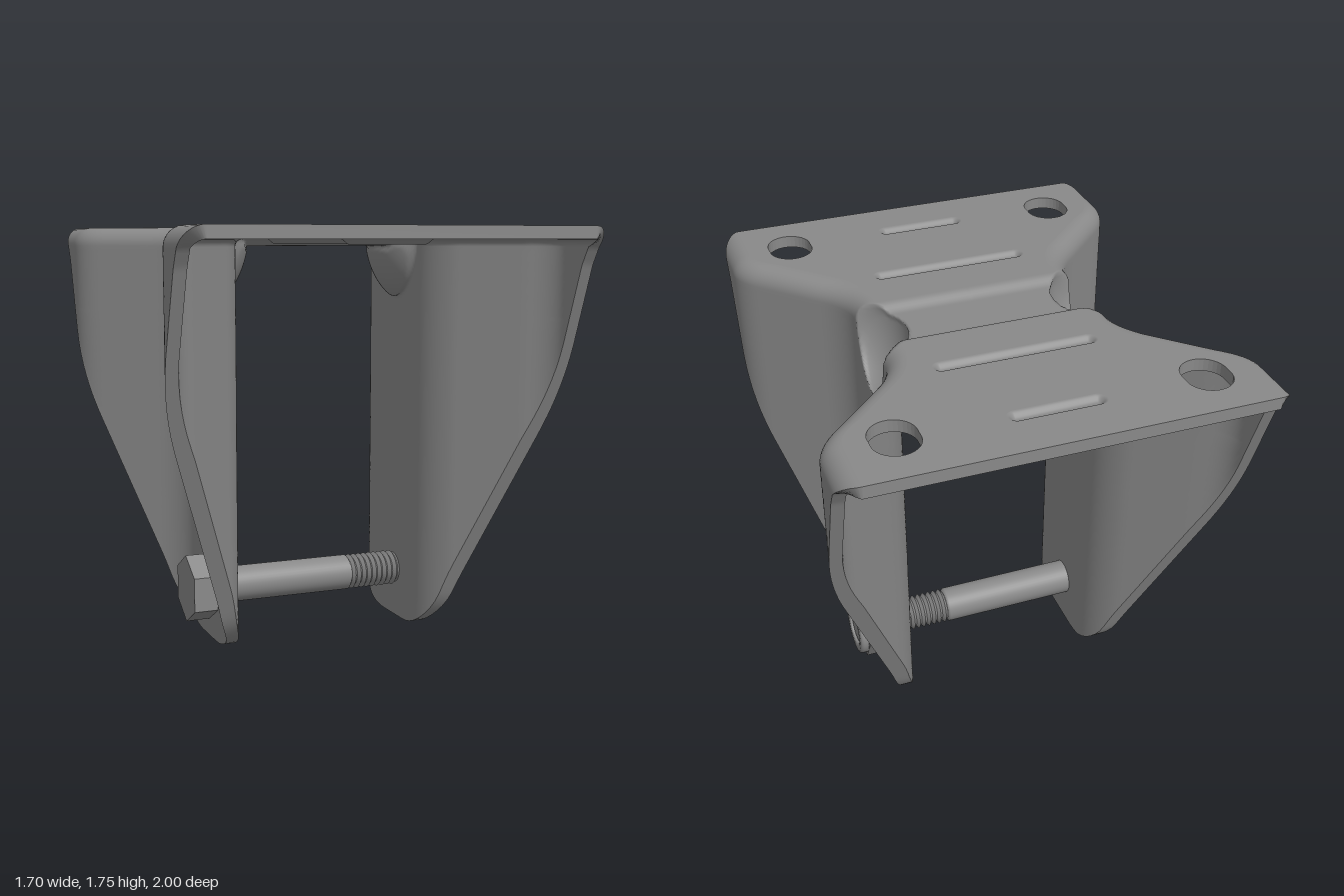
import * as THREE from 'three';
import { mergeGeometries } from 'three/addons/utils/BufferGeometryUtils.js';

const TOP = 1.75, THICK = 0.05, BEND = 0.08, MID = 0.24;
const steel = new THREE.MeshStandardMaterial({ color: 0x898989, side: THREE.DoubleSide });
const steelFlat = new THREE.MeshStandardMaterial({ color: 0x898989, flatShading: true });
const { smoothstep, lerp } = THREE.MathUtils;

// Indexed surface from a point function; keep(i, j) may drop cells
function grid(nI, nJ, point, keep = () => true) {
  const pos = [], idx = [];
  for (let i = 0; i <= nI; i++) for (let j = 0; j <= nJ; j++) pos.push(...point(i, j));
  for (let i = 0; i < nI; i++) for (let j = 0; j < nJ; j++) {
    if (!keep(i, j)) continue;
    const a = i * (nJ + 1) + j, b = a + nJ + 1;
    idx.push(a, a + 1, b, a + 1, b + 1, b);
  }
  const g = new THREE.BufferGeometry();
  g.setAttribute('position', new THREE.Float32BufferAttribute(pos, 3));
  g.setIndex(idx);
  g.computeVertexNormals();
  return g;
}

function flip(g) {
  const a = g.index.array;
  for (let k = 0; k < a.length; k += 3) [a[k], a[k + 1]] = [a[k + 1], a[k]];
  g.computeVertexNormals();
  return g;
}

// Half width of the bracket in plan: straight waist, 45 degree flare, straight ends
const ramp = (t, k) => (t <= -k ? 0 : t >= k ? t : (t + k) ** 2 / (4 * k));
function halfWidth(z) {
  const q = Math.abs(z);
  return 0.465 + ramp(q - 0.3, 0.1) - ramp(q - 0.685, 0.07);
}

// Half length of the side wall at each height: round foot, straight taper, flared lip
const FOOT = 0.276;
const REACH = [[0.183, 0.36], [1.6, 0.865], [1.67, 0.905], [1.7, 0.935], [1.725, 0.963], [1.74, 0.982], [1.75, 1]];
function reach(y) {
  if (y < REACH[0][0]) return 0.1 + Math.sqrt(FOOT ** 2 - (FOOT - y) ** 2);
  let k = 1;
  while (k < REACH.length - 1 && y > REACH[k][0]) k++;
  const [a, b] = [REACH[k - 1], REACH[k]];
  return lerp(a[1], b[1], (y - a[0]) / (b[0] - a[0]));
}

// x of the plan outline at z, moved inward by d measured square to the outline
function insetX(z, d) {
  const slope = (halfWidth(z + 0.005) - halfWidth(z - 0.005)) / 0.01;
  return halfWidth(z) - d * Math.hypot(1, slope);
}

// Pressed centre channel, and the soft-rimmed dent in the bent edge
function press([x, y, z], inner) {
  y -= 0.028 * (1 - smoothstep(Math.abs(z), 0.105, 0.16)) * smoothstep(y, 1.6, 1.7);
  const [rx, ry, rz] = inner ? [0.213, 0.325, 0.235] : [0.192, 0.315, 0.2];
  const px = (x - 0.5) / rx, py = (y - 1.74) / ry, pz = z / rz;
  const c = px * px + py * py + pz * pz - 1;
  if (c < 0) {
    const dx = x - 0.58, dy = y - 1.9, ex = dx / rx, ey = dy / ry;
    const a = ex * ex + ey * ey, b = px * ex + py * ey;
    const t = (-b + Math.sqrt(b * b - a * c)) / a * smoothstep(-c, 0, 0.22);
    x += dx * t;
    y += dy * t;
  }
  return [x, y, z];
}

// Columns across the sheet, dense in the middle
const cols = [], N = 36, M = 48;
for (let k = 0; k < N; k++) cols.push(lerp(-1, -MID, k / N));
for (let k = 0; k <= M; k++) cols.push(lerp(-MID, MID, k / M));
for (let k = 1; k <= N; k++) cols.push(lerp(MID, 1, k / N));

// Rows: up the wall, around the bend, then over the middle of the top
const rows = [];
for (const y of [0, 0.003, 0.01, 0.02, 0.035, 0.055, 0.08, 0.11, 0.145, 0.183]) rows.push({ y, a: 0, v: 1 });
for (let y = 0.23; y < 1.36; y += 0.05) rows.push({ y, a: 0, v: 1 });
for (let y = 1.38; y < 1.66; y += 0.015) rows.push({ y, a: 0, v: 1 });
for (let k = 0; k <= 10; k++) rows.push({ y: TOP - BEND, a: k / 10 * Math.PI / 2, v: 1 });
const wallRows = rows.length - 1;
for (let k = 1; k <= 28; k++) rows.push({ y: TOP - BEND, a: Math.PI / 2, v: 1 - k / 28 });

function sheetPoint(i, j, inner) {
  const { y, a, v } = rows[j], r = inner ? BEND - THICK : BEND;
  const z = cols[i] * reach(Math.min(y + BEND * Math.sin(a), TOP));
  return press([insetX(z, BEND - r * Math.cos(a)) * v, y + r * Math.sin(a), z], inner);
}

function sideSheet() {
  const nI = cols.length - 1, nJ = rows.length - 1;
  const keep = (i, j) => j < wallRows || (i >= N && i < N + M);
  const edge = [];
  for (let j = wallRows; j > 0; j--) edge.push([0, j]);
  for (let i = 0; i <= nI; i++) edge.push([i, 0]);
  for (let j = 1; j <= wallRows; j++) edge.push([nI, j]);
  return mergeGeometries([
    grid(nI, nJ, (i, j) => sheetPoint(i, j, false), keep),
    flip(grid(nI, nJ, (i, j) => sheetPoint(i, j, true), keep)),
    grid(edge.length - 1, 1, (i, j) => sheetPoint(...edge[i], j === 0)),
  ]);
}

// Round-ended slot outline; s shrinks it towards its spine
function slotPoint(k, n, hx, hz, s = 1) {
  const a = (k + 0.5) / n * Math.PI * 2, r = Math.min(hx, hz);
  const c = Math.cos(a), d = Math.sin(a);
  return [c * r * s + Math.sign(c) * (hx - r), d * r * s + Math.sign(d) * (hz - r)];
}
const slotPath = (cx, cz, hx, hz) => new THREE.Path(Array.from({ length: 32 }, (_, k) => {
  const [x, z] = slotPoint(k, 32, hx, hz);
  return new THREE.Vector2(cx + x, cz + z);
}));

const GROOVES = [[0.385, 0.33], [0.785, 0.19]];
const GROOVE_W = 0.036;

// Flat end of the top plate with two mounting holes and two pressed grooves
function endPlate() {
  const side = cols.slice(N + M).map((z) => new THREE.Vector2(insetX(z, BEND), z));
  const shape = new THREE.Shape([...side, ...side.map((p) => new THREE.Vector2(-p.x, p.y)).reverse()]);
  for (const s of [-1, 1]) shape.holes.push(slotPath(s * 0.593, 0.768, 0.09, 0.11));
  for (const [z, hx] of GROOVES) shape.holes.push(slotPath(0, z, hx, GROOVE_W));
  const plate = new THREE.ExtrudeGeometry(shape, { depth: THICK, bevelEnabled: false });
  return plate.rotateX(Math.PI / 2).translate(0, TOP, 0);
}

// Pressed groove with a soft rim, top and underside
function groove(cz, hx) {
  const layer = (y) => grid(32, 10, (i, j) => {
    const [x, z] = slotPoint(i % 32, 32, hx, GROOVE_W, 1 - j / 10);
    return [x, y - 0.02 * smoothstep(j / 10, 0, 0.9), cz + z];
  });
  return mergeGeometries([flip(layer(TOP)), layer(TOP - THICK)]);
}

// Turned part along x
function turned(points) {
  const g = new THREE.LatheGeometry(points.map(([r, x]) => new THREE.Vector2(r, x)), 40);
  return g.rotateZ(-Math.PI / 2);
}

export function createModel() {
  const model = new THREE.Group();
  const add = (name, geometry, material = steel, parent = model) => {
    const mesh = new THREE.Mesh(geometry, material);
    mesh.name = name;
    parent.add(mesh);
  };

  // Folded bracket
  add('leftSide', sideSheet());
  add('rightSide', flip(sideSheet().scale(-1, 1, 1)));
  for (const [name, turn] of [['front', 0], ['back', Math.PI]]) {
    add(name + 'Plate', endPlate().rotateY(turn));
    GROOVES.forEach(([z, hx]) => add(name + 'Groove', groove(z, hx).rotateY(turn)));
  }

  // Axle bolt with hex head, thread and locking nut
  const bolt = new THREE.Group();
  bolt.name = 'axleBolt';
  bolt.position.y = 0.218;
  model.add(bolt);
  add('shank', turned([[0.077, -0.47], [0.077, 0.175], [0.064, 0.185]]), steel, bolt);
  const thread = [];
  for (let k = 0; k <= 24; k++) thread.push([k % 2 ? 0.077 : 0.062, 0.185 + k * 0.0125]);
  add('thread', turned([...thread, [0.07, 0.5], [0.07, 0.605], [0, 0.605]]), steelFlat, bolt);
  const hex = (len) => new THREE.CylinderGeometry(0.145, 0.145, len, 6);
  add('boltHead', hex(0.105).rotateY(Math.PI / 6).rotateZ(-Math.PI / 2).translate(-0.515, 0, 0), steelFlat, bolt);
  add('nut', hex(0.12).rotateZ(-Math.PI / 2).translate(0.52, 0, 0), steelFlat, bolt);
  add('nutCollar', turned([[0.125, 0.575], [0.125, 0.6], [0.122, 0.61], [0.113, 0.616], [0.09, 0.616],
    [0.08, 0.61], [0.08, 0.575]]), steel, bolt);
  return model;
}
